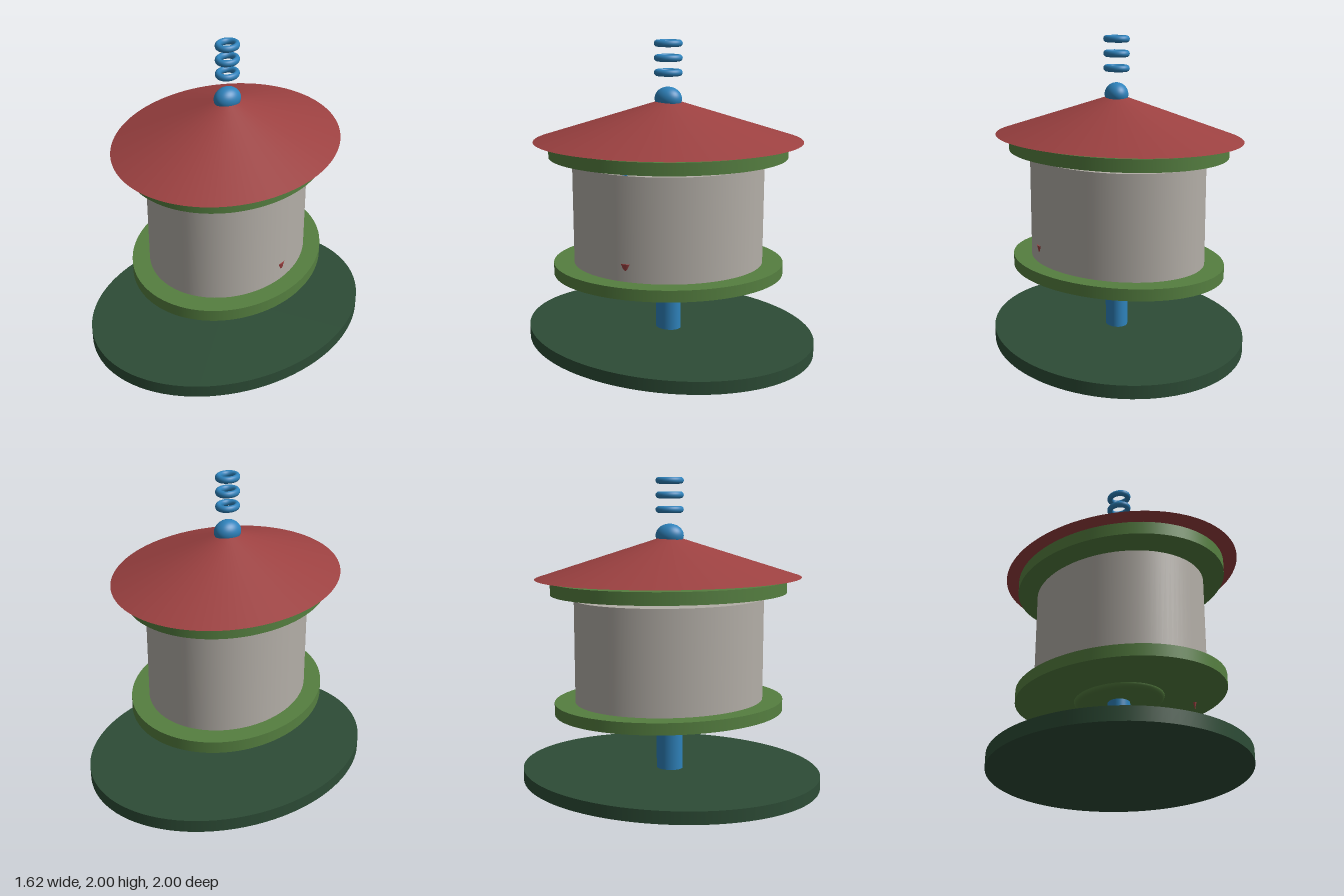
import * as THREE from 'three';

const material = (name, color) => {
  const m = new THREE.MeshStandardMaterial({ color });
  m.name = name;
  return m;
};

export function createModel() {
  const model = new THREE.Group();
  model.name = 'birdFeeder';
  const darkGreen = material('dark green', 0x2d4c36);
  const green = material('leaf green', 0x557f40);
  const grey = material('warm grey', 0xb3aea7);
  const red = material('roof red', 0x9c4141);
  const blue = material('blue', 0x2e82bb);

  const TURN = Math.PI / 6; // the oval upper parts are turned against the base
  const ASPECT = 0.808;     // oval width over depth

  const add = (name, geometry, mat, y, depth, height, turn = TURN) => {
    const mesh = new THREE.Mesh(geometry, mat);
    mesh.name = name;
    mesh.scale.set(depth * ASPECT, height, depth);
    mesh.position.y = y;
    mesh.rotation.y = turn;
    model.add(mesh);
    return mesh;
  };

  // Oval disc or drum between two heights
  const drumGeometry = new THREE.CylinderGeometry(1, 1, 1, 96);
  const drum = (name, mat, bottom, top, depth, turn) =>
    add(name, drumGeometry, mat, (bottom + top) / 2, depth, top - bottom, turn);

  drum('base', darkGreen, 0, 0.083, 1, 0);
  drum('pole', blue, 0.08, 0.5, 0.088, 0);
  drum('tray', green, 0.48, 0.555, 0.758);
  drum('seedDrum', grey, 0.555, 1.225, 0.623);
  drum('lid', green, 1.26, 1.34, 0.773);

  // Rounded collar under the tray
  const collarProfile = [[0, 0], [0.9, 0], [0.95, 0.004], [0.985, 0.013], [1, 0.026], [1, 0.04]]
    .map(([r, y]) => new THREE.Vector2(r, y));
  add('collar', new THREE.LatheGeometry(collarProfile, 64), green, 0.455, 0.325, 1);

  // Roof and finial
  add('roof', new THREE.ConeGeometry(1, 0.276, 96), red, 1.498, 0.87, 1);
  add('finial', new THREE.SphereGeometry(1, 40, 24), blue, 1.63, 0.092, 0.075, 0);

  // Three separate rings above the finial
  const ringGeometry = new THREE.TorusGeometry(0.07, 0.0215, 16, 48).rotateX(Math.PI / 2);
  for (const y of [1.795, 1.887, 1.9785]) {
    add('ring', ringGeometry, blue, y, 1, 1).scale.set(0.0745 / 0.0915, 1, 1);
  }

  // Small spike breaking through the drum wall and tray
  const spike = new THREE.Mesh(new THREE.ConeGeometry(0.05, 0.24, 24).rotateX(Math.PI), red);
  spike.name = 'spike';
  spike.position.set(0.485, 0.55, 0);
  model.add(spike);

  // Pin showing at the top of the drum
  const pin = new THREE.Mesh(new THREE.CylinderGeometry(0.026, 0.026, 0.035, 24), blue);
  pin.name = 'pin';
  pin.position.set(0.495, 1.2175, 0);
  model.add(pin);

  return model;
}
